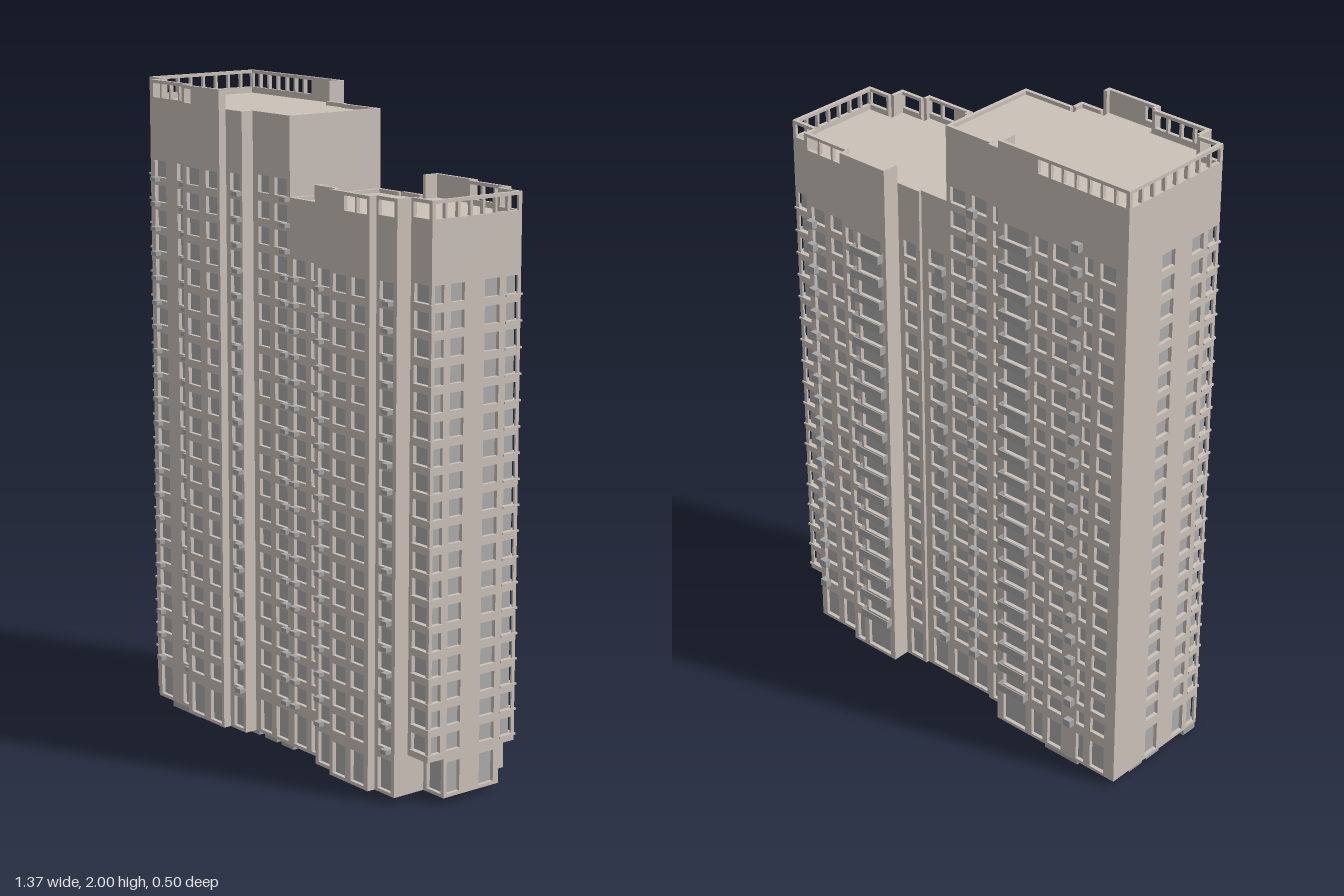
import * as THREE from 'three';
import { mergeGeometries } from 'three/addons/utils/BufferGeometryUtils.js';

const T = 0.012;            // wall thickness
const PITCH = 0.077;        // storey height
const FIRST = 0.162;        // sill of the first upper storey
const BASE = 0.02, SPLIT = 0.14;

const wallMat = new THREE.MeshStandardMaterial({ color: 0xcbc1b9 });
const glassMat = new THREE.MeshStandardMaterial({ color: 0xacacac });
const greyMat = new THREE.MeshStandardMaterial({ color: 0xa6a6a6 });

// Plan outlines [x, z], running along the front, right end, back, left end
const leftPlan = [
  [-0.68, 0.17], [-0.6, 0.17], [-0.6, 0.22], [-0.4, 0.22], [-0.4, 0.245], [-0.21, 0.245],
  [-0.21, 0.22], [-0.13, 0.22], [-0.13, 0.18], [0.05, 0.18], [0.05, -0.16], [-0.12, -0.16],
  [-0.12, -0.17], [-0.21, -0.17], [-0.21, -0.228], [-0.68, -0.228]];
const rightFront = [
  [0.05, 0.18], [0.22, 0.18], [0.22, 0.22], [0.32, 0.22], [0.32, 0.245], [0.5, 0.245],
  [0.5, 0.22], [0.59, 0.22]];
const rightBack = [
  [0.59, -0.2], [0.415, -0.2], [0.415, -0.226], [0.235, -0.226], [0.235, -0.17],
  [0.15, -0.17], [0.15, -0.16], [0.05, -0.16]];
const endPlan = (zf, zb) => [[0.59, zf], [0.68, zf], [0.68, zb], [0.59, zb]];
const rightPlan = [...rightFront, ...endPlan(0.17, -0.16), ...rightBack];
const rightGroundPlan = [...rightFront, ...endPlan(0.11, -0.1), ...rightBack];

// Window columns as [from, to] along each side
const columns = {
  front: [[-0.674, -0.615], [-0.585, -0.525], [-0.465, -0.41], [-0.38, -0.315], [-0.28, -0.22],
    [-0.19, -0.137], [-0.105, -0.05], [-0.025, 0.035], [0.065, 0.125], [0.15, 0.205],
    [0.235, 0.295], [0.335, 0.395], [0.42, 0.48], [0.515, 0.575], [0.605, 0.674]],
  back: [[-0.64, -0.585], [-0.56, -0.53], [-0.47, -0.415], [-0.395, -0.35], [-0.325, -0.235],
    [-0.19, -0.14], [-0.105, -0.05], [-0.025, 0.035], [0.065, 0.125], [0.165, 0.215],
    [0.255, 0.35], [0.37, 0.4], [0.44, 0.49], [0.515, 0.57], [0.605, 0.674]],
  right: [[0.125, 0.164], [0.05, 0.1], [-0.08, -0.025], [-0.154, -0.105]],
  left: [[0.12, 0.164], [0.05, 0.1], [-0.08, -0.025]],
};

function box(x0, x1, y0, y1, z0, z1) {
  return new THREE.BoxGeometry(x1 - x0, y1 - y0, z1 - z0)
    .translate((x0 + x1) / 2, (y0 + y1) / 2, (z0 + z1) / 2);
}

function rectPath(Type, a, b, c, d) {
  return new Type([[a, c], [b, c], [b, d], [a, d]].map(p => new THREE.Vector2(...p)));
}

// One straight wall between two plan corners, pierced by openings [u0, u1, y0, y1]
function wall(p, q, y0, y1, openings) {
  const len = Math.hypot(q[0] - p[0], q[1] - p[1]);
  const shape = rectPath(THREE.Shape, 0, len, y0, y1);
  for (const o of openings) shape.holes.push(rectPath(THREE.Path, ...o));
  const u = new THREE.Vector3((q[0] - p[0]) / len, 0, (q[1] - p[1]) / len);
  const v = new THREE.Vector3(0, 1, 0);
  const w = new THREE.Vector3().crossVectors(u, v);
  const m = new THREE.Matrix4().makeBasis(u, v, w)
    .setPosition(p[0] - w.x * T, 0, p[1] - w.z * T);
  return new THREE.ExtrudeGeometry(shape, { depth: T, bevelEnabled: false }).applyMatrix4(m);
}

// Window columns that fall on the wall p-q, converted to distances along it
function columnsOn(p, q) {
  const alongX = p[1] === q[1];
  const a = alongX ? 0 : 1, dir = Math.sign(q[a] - p[a]);
  if (!alongX && Math.abs(p[0]) < 0.67) return [];
  const side = alongX ? (dir > 0 ? 'front' : 'back') : (dir < 0 ? 'right' : 'left');
  const lo = Math.min(p[a], q[a]), hi = Math.max(p[a], q[a]);
  return columns[side].filter(c => c[0] > lo && c[1] < hi)
    .map(c => c.map(s => (s - p[a]) * dir).sort((m, n) => m - n));
}

// Row of square openings along the roof parapet, where the parapet is pierced
function parapetOpenings(p, q, top) {
  const pierced = x => x < -0.33 || x > 0.41;
  const len = Math.hypot(q[0] - p[0], q[1] - p[1]);
  const n = Math.floor((len - 0.01) / 0.044), step = (len - 0.01) / n, list = [];
  for (let i = 0; i < n; i++) {
    const mid = 0.005 + (i + 0.5) * step;
    if (pierced(p[0] + (q[0] - p[0]) * mid / len))
      list.push([mid - step / 2 + 0.004, mid + step / 2 - 0.004, top - 0.053, top - 0.01]);
  }
  return list;
}

// Rectilinear plan moved inward by d
function inset(plan, d) {
  const n = plan.length;
  const normal = (p, q) => [-Math.sign(q[1] - p[1]), Math.sign(q[0] - p[0])];
  return plan.map((p, i) => {
    const a = normal(plan[(i + n - 1) % n], p), b = normal(p, plan[(i + 1) % n]);
    return [p[0] - (a[0] + b[0]) * d, p[1] - (a[1] + b[1]) * d];
  });
}

// Inner block: its sides are the glass, its top the roof deck
function core(plan, y0, y1) {
  const shape = new THREE.Shape(inset(plan, T).map(p => new THREE.Vector2(p[0], -p[1])));
  const geo = new THREE.ExtrudeGeometry(shape, { depth: y1 - y0, bevelEnabled: false })
    .rotateX(-Math.PI / 2).translate(0, y0, 0);
  const mesh = new THREE.Mesh(geo, [wallMat, glassMat]);
  mesh.name = 'glazingAndRoof';
  return mesh;
}

function merged(name, geos, mat) {
  const mesh = new THREE.Mesh(mergeGeometries(geos), mat);
  mesh.name = name;
  return mesh;
}

function tower(name, plan, groundPlan, floors, lowTop, highTop) {
  const g = new THREE.Group();
  g.name = name;
  const ring = (pl, make) => pl.map((p, i) => make(p, pl[(i + 1) % pl.length]));
  const upper = ring(plan, (p, q) => {
    const high = Math.min(Math.abs(p[0]), Math.abs(q[0])) >= 0.2;
    const top = high ? highTop : lowTop, openings = [];
    for (const [a, b] of columnsOn(p, q))
      for (let f = 0; f < floors; f++)
        openings.push([a, b, FIRST + f * PITCH, FIRST + f * PITCH + 0.052]);
    if (high) openings.push(...parapetOpenings(p, q, highTop));
    return wall(p, q, SPLIT, top, openings);
  });
  const ground = ring(groundPlan, (p, q) =>
    wall(p, q, BASE, SPLIT, columnsOn(p, q).map(([a, b]) => [a, b, 0.03, 0.127])));
  g.add(merged('upperWalls', upper, wallMat), merged('groundFloorWalls', ground, wallMat));
  g.add(core(plan, SPLIT, lowTop - 0.012), core(groundPlan, BASE, SPLIT));
  return g;
}

export function createModel() {
  const model = new THREE.Group();
  model.name = 'apartmentBlock';
  model.add(tower('tallTower', leftPlan, leftPlan, 21, 1.94, 2.0));
  model.add(tower('lowTower', rightPlan, rightGroundPlan, 18, 1.702, 1.76));

  // Small equipment ledges: [x, wall z, direction, floors]
  const ledges = [];
  for (const [x, z, d, n] of [
    [-0.57, 0.22, 1, 21], [-0.413, 0.22, 1, 21], [-0.145, 0.22, 1, 21], [0.037, 0.18, 1, 21],
    [0.08, 0.18, 1, 18], [0.25, 0.22, 1, 18], [0.562, 0.22, 1, 18],
    [-0.508, -0.228, -1, 22], [-0.058, -0.16, -1, 21], [0.067, -0.16, -1, 18], [0.562, -0.2, -1, 18]])
    for (let f = 0; f < n; f++) {
      const y = 0.15 + f * PITCH, far = z + d * 0.02;
      ledges.push(box(x - 0.013, x + 0.013, y, y + (d > 0 ? 0.013 : 0.024),
        Math.min(z, far), Math.max(z, far)));
    }
  model.add(merged('equipmentLedges', ledges, greyMat));

  // Long rear balconies: floor slab, front rail and two cheeks
  const balconies = [];
  for (const [x0, x1, n] of [[-0.335, -0.23, 21], [0.245, 0.36, 18]])
    for (let f = 0; f < n; f++) {
      const y = 0.15 + f * PITCH, z0 = -0.25, z1 = -0.227;
      balconies.push(box(x0, x1, y, y + 0.006, z0, z1), box(x0, x1, y, y + 0.026, z0, z0 + 0.004),
        box(x0, x0 + 0.004, y, y + 0.026, z0, z1), box(x1 - 0.004, x1, y, y + 0.026, z0, z1));
    }
  model.add(merged('rearBalconies', balconies, greyMat));

  // Thin sills wrapping the corner loggias
  const sills = [];
  for (const [x0, x1, z0, z1, n] of [[-0.684, -0.612, 0.12, 0.174, 21],
    [0.602, 0.684, 0.12, 0.174, 18], [0.602, 0.684, -0.164, -0.102, 18]])
    for (let f = 0; f < n; f++) {
      const y = FIRST + f * PITCH;
      sills.push(box(x0, x1, y - 0.006, y, z0, z1));
    }
  model.add(merged('cornerSills', sills, wallMat));

  // Low entrance plinths under the ground floor
  const plinths = [[-0.68, -0.57, 0.11, 0.165], [-0.53, -0.38, 0.11, 0.215], [-0.2, -0.135, 0.11, 0.165],
    [-0.105, -0.045, 0.11, 0.165], [-0.02, 0.04, 0.11, 0.165], [-0.67, -0.6, -0.06, 0],
    [-0.67, -0.6, -0.14, -0.08], [-0.53, -0.4, -0.22, -0.2]]
    .map(([x0, x1, z0, z1]) => box(x0, x1, 0, BASE + 0.002, z0, z1));
  model.add(merged('entrancePlinths', plinths, greyMat));
  return model;
}
